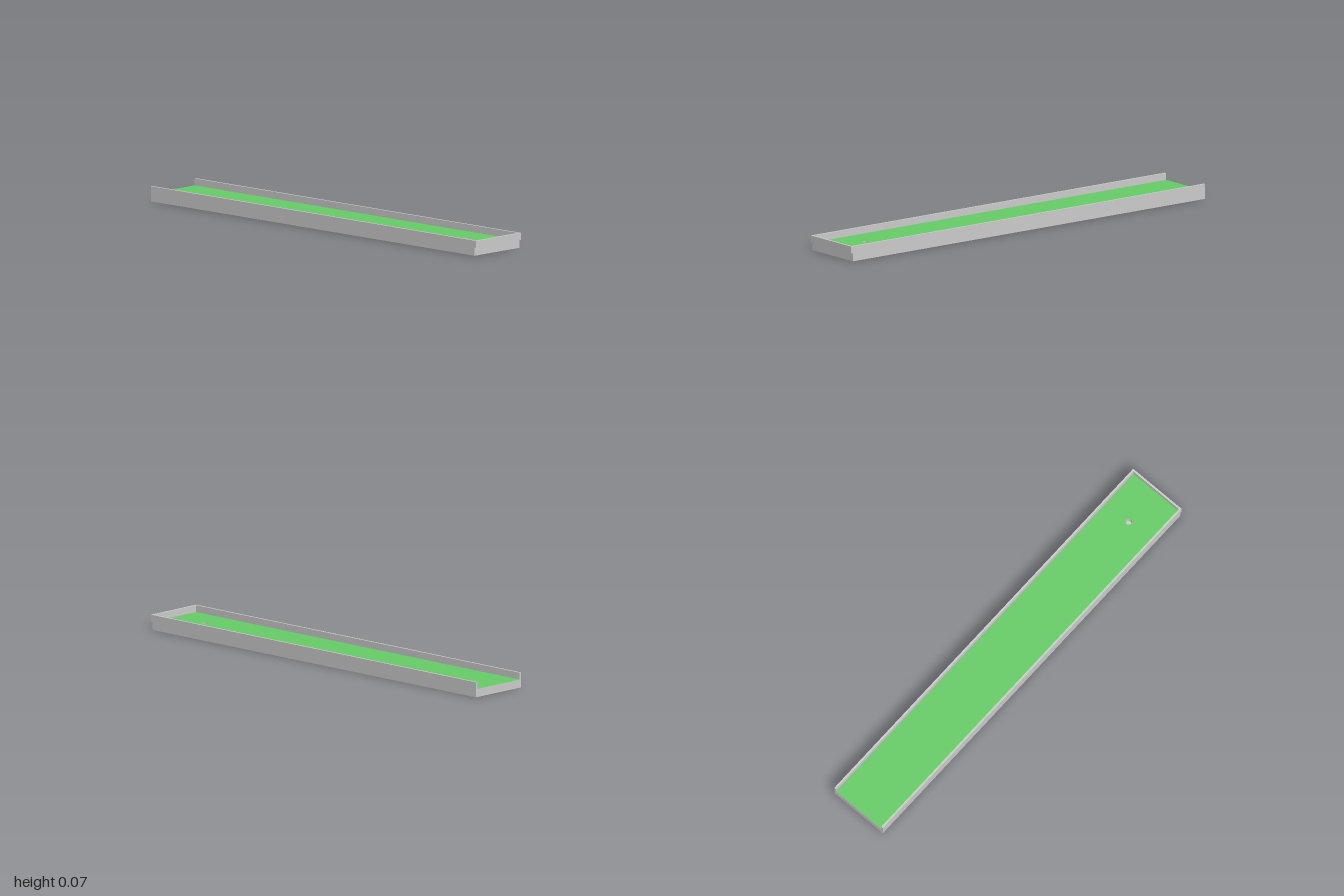
import * as THREE from 'three';

const WIDTH = 0.286, HEIGHT = 0.068, FLOOR = 0.037, RAIL = 0.009;
const BACK = -1, FRONT = 1 - RAIL, CUP_BOTTOM = 0.01;

export function createModel() {
  const group = new THREE.Group();
  const grey = new THREE.MeshStandardMaterial({ color: 0xcccccc });
  const green = new THREE.MeshStandardMaterial({ color: 0x66cc66 });

  // Box given by its lower and upper corners
  const addBox = (name, [x0, y0, z0], [x1, y1, z1]) => {
    const mesh = new THREE.Mesh(new THREE.BoxGeometry(x1 - x0, y1 - y0, z1 - z0), grey);
    mesh.position.set((x0 + x1) / 2, (y0 + y1) / 2, (z0 + z1) / 2);
    mesh.name = name;
    group.add(mesh);
  };

  const half = WIDTH / 2, inner = half - RAIL;

  // Solid underside, also the bottom of the cup
  addBox('base', [-inner, 0, BACK], [inner, CUP_BOTTOM, FRONT]);

  // Slab with the cup hole: green playing surface, grey edges and cup wall
  const outline = new THREE.Shape([
    new THREE.Vector2(-inner, -FRONT), new THREE.Vector2(inner, -FRONT),
    new THREE.Vector2(inner, -BACK), new THREE.Vector2(-inner, -BACK),
  ]);
  outline.holes.push(new THREE.Path().absarc(0, -0.808, 0.0135, 0, Math.PI * 2, true));
  const slab = new THREE.ExtrudeGeometry(outline, {
    depth: FLOOR - CUP_BOTTOM, bevelEnabled: false, curveSegments: 24,
  });
  slab.rotateX(-Math.PI / 2).translate(0, CUP_BOTTOM, 0);
  const lane = new THREE.Mesh(slab, [green, grey]);
  lane.name = 'lane';
  group.add(lane);

  // Side rails run the full height; the back end stays open
  addBox('leftRail', [inner, 0, BACK], [half, HEIGHT, FRONT]);
  addBox('rightRail', [-half, 0, BACK], [-inner, HEIGHT, FRONT]);

  // Front rail overhangs the base
  addBox('frontRail', [-half, FLOOR, FRONT], [half, HEIGHT, 1]);

  return group;
}
